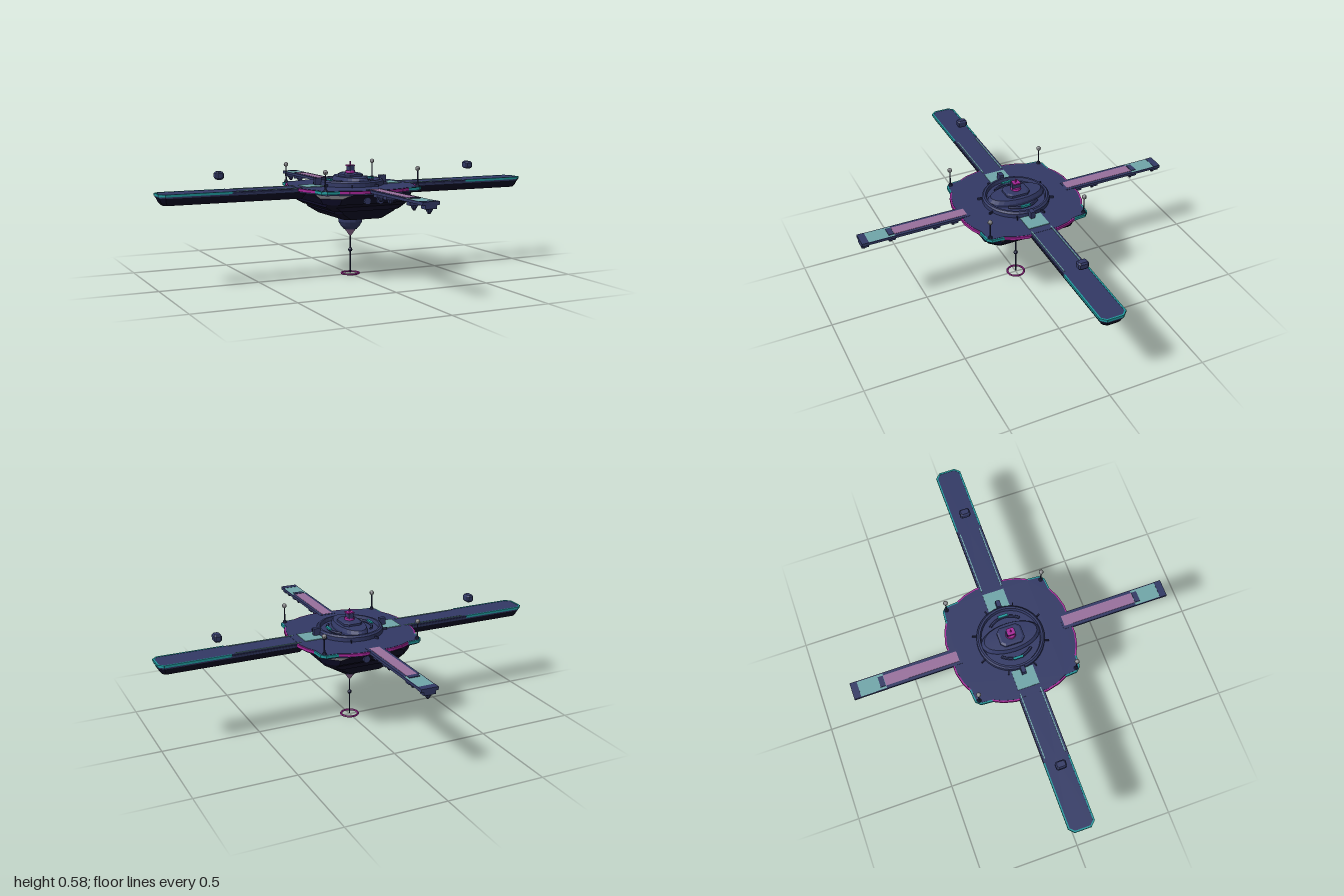
import * as THREE from 'three';

const paint = (name, color, side = THREE.FrontSide) => {
  const m = new THREE.MeshStandardMaterial({ color, side, flatShading: true });
  m.name = name;
  return m;
};

// Stacked chamfered rectangles; each ring is [y, halfX, halfZ, chamfer, centreX]
function loft(rings) {
  const loops = rings.map(([y, a, b, c, ox = 0]) => [
    [a, b - c], [a - c, b], [c - a, b], [-a, b - c],
    [-a, c - b], [c - a, -b], [a - c, -b], [a, c - b],
  ].map(([x, z]) => [x + ox, y, z]));
  const pos = [];
  const tri = (...p) => p.forEach((v) => pos.push(...v));
  const top = loops.at(-1), bottom = loops[0];
  for (let k = 0; k < 8; k++) {
    const n = (k + 1) % 8;
    for (let i = 0; i + 1 < loops.length; i++) {
      const lo = loops[i], up = loops[i + 1];
      tri(lo[k], up[k], lo[n]);
      tri(lo[n], up[k], up[n]);
    }
    tri([rings.at(-1)[4] || 0, top[0][1], 0], top[n], top[k]);
    tri([rings[0][4] || 0, bottom[0][1], 0], bottom[k], bottom[n]);
  }
  const g = new THREE.BufferGeometry();
  g.setAttribute('position', new THREE.Float32BufferAttribute(pos, 3));
  g.computeVertexNormals();
  return g;
}

const lathe = (pts, n = 20) => new THREE.LatheGeometry(pts.map(([r, y]) => new THREE.Vector2(r, y)), n);

export function createModel() {
  const root = new THREE.Group();
  root.name = 'spaceStation';
  const navy = paint('navy hull', 0x323965, THREE.DoubleSide);
  const dark = paint('dark underside', 0x0c0a25);
  const trim = paint('dark trim', 0x24284a);
  const teal = paint('teal trim', 0x1f989c);
  const magenta = paint('magenta trim', 0xa62698);
  const pale = paint('pale teal panel', 0x70a6a9);
  const mauve = paint('mauve panel', 0x98709c);
  const grey = paint('grey metal', 0x8c8c90);

  const add = (name, geo, mat, x = 0, y = 0, z = 0) => {
    const m = new THREE.Mesh(geo, mat);
    m.name = name;
    m.position.set(x, y, z);
    root.add(m);
    return m;
  };
  const box = (name, mat, w, h, d, x, y, z) => add(name, new THREE.BoxGeometry(w, h, d), mat, x, y, z);
  const post = (name, mat, r0, r1, h, x, y, z, n = 10) =>
    add(name, new THREE.CylinderGeometry(r1, r0, h, n), mat, x, y, z);

  // Deck with bowed sides and notched corners
  const quarter = [[0.305, 0.08], [0.29, 0.14], [0.268, 0.185], [0.263, 0.245],
    [0.245, 0.263], [0.185, 0.268], [0.14, 0.29], [0.08, 0.305]];
  const outline = [];
  for (let q = 0, pts = quarter; q < 4; q++) {
    outline.push(...pts);
    pts = pts.map(([x, z]) => [-z, x]);
  }
  const shape = new THREE.Shape(outline.map(([x, z]) => new THREE.Vector2(x, z)));
  const deckGeo = new THREE.ExtrudeGeometry(shape, { depth: 0.022, bevelEnabled: false });
  add('deck', deckGeo.rotateX(-Math.PI / 2), navy, 0, 0.445, 0);

  // Coloured rim standing just outside the deck edge
  outline.forEach(([x, z], i) => {
    const [x2, z2] = outline[(i + 1) % outline.length];
    const k = i % 8;
    const s = box('deckRim', k > 1 && k < 5 ? teal : magenta, 0.016, 0.014,
      Math.hypot(x2 - x, z2 - z) + 0.006, (x + x2) / 2, 0.4585, (z + z2) / 2);
    s.rotation.y = Math.atan2(x2 - x, z2 - z);
  });

  // Stepped hull below the deck
  add('upperHull', loft([[0.395, 0.235, 0.25, 0.06], [0.425, 0.25, 0.265, 0.08], [0.446, 0.265, 0.29, 0.14]]), dark);
  add('middleHull', loft([[0.358, 0.18, 0.22, 0.03], [0.38, 0.22, 0.225, 0.04], [0.396, 0.22, 0.245, 0.04]]), dark);
  add('lowerHull', loft([[0.31, 0.11, 0.18, 0.03], [0.345, 0.165, 0.2, 0.03], [0.36, 0.17, 0.205, 0.03]]), dark);

  // Neck, mauve cone, mast and lower ring
  add('neck', lathe([[0, 0.236], [0.034, 0.238], [0.05, 0.256], [0.062, 0.278], [0.064, 0.312]], 14), navy);
  post('coneTip', mauve, 0.004, 0.032, 0.04, 0, 0.222, 0, 14);
  post('mast', trim, 0.004, 0.004, 0.2, 0, 0.11, 0, 8);
  add('mastBead', new THREE.OctahedronGeometry(0.012, 1), trim, 0, 0.13, 0);
  const ring = add('lowerRing', new THREE.TorusGeometry(0.044, 0.006, 6, 28), magenta, 0, 0.008, 0);
  ring.rotation.x = Math.PI / 2;
  ring.scale.z = 0.8;

  // Command dome
  add('domeRing', lathe([[0.168, 0.465], [0.168, 0.488], [0.16, 0.496], [0.15, 0.496], [0.144, 0.472]], 36), navy);
  post('domeFloor', navy, 0.145, 0.145, 0.012, 0, 0.472, 0, 36);
  const dome = add('dome', lathe([[0.15, 0.466], [0.15, 0.49], [0.135, 0.508], [0, 0.512]], 28), navy);
  dome.scale.x = 0.5;
  add('domeUpper', loft([[0.505, 0.05, 0.062, 0.02], [0.52, 0.05, 0.062, 0.02], [0.526, 0.04, 0.052, 0.015]]), navy);
  post('turretCollar', magenta, 0.026, 0.024, 0.012, 0, 0.531, 0, 12);
  box('turret', navy, 0.024, 0.03, 0.044, 0, 0.547, 0);
  box('turretCap', magenta, 0.036, 0.007, 0.036, 0, 0.562, 0);
  post('turretSpike', magenta, 0.004, 0.003, 0.018, 0, 0.574, 0, 6);
  for (const s of [-1, 1]) {
    const arc = add('domeArc', new THREE.TorusGeometry(0.112, 0.007, 6, 14, 1.5), navy, 0, 0.488, 0);
    arc.rotation.set(Math.PI / 2, 0, s > 0 ? -0.75 : Math.PI - 0.75);
    box('console', navy, 0.034, 0.035, 0.022, s * 0.182, 0.49, 0);
    box('consoleLight', teal, 0.012, 0.008, 0.05, s * 0.115, 0.496, 0);
  }
  for (let i = 0; i < 8; i++) {
    const a = Math.PI / 8 + (i * Math.PI) / 4;
    const rib = box('domeStrut', trim, 0.03, 0.012, 0.006, 0.175 * Math.cos(a), 0.472, 0.175 * Math.sin(a));
    rib.rotation.y = -a;
  }

  // Corner antennas
  for (const x of [-0.25, 0.25]) for (const z of [-0.25, 0.25]) {
    post('antenna', trim, 0.004, 0.003, 0.095, x, 0.508, z, 6);
    post('antennaBase', trim, 0.012, 0.008, 0.012, x, 0.471, z, 8);
    add('antennaBulb', new THREE.SphereGeometry(0.012, 10, 8), grey, x, 0.557, z);
  }

  for (const s of [-1, 1]) {
    // Broad side wings with tapered undersides
    const cx = s * 0.625;
    add('wingTop', loft([[0.448, 0.372, 0.063, 0.025, cx], [0.454, 0.374, 0.064, 0.025, cx], [0.466, 0.372, 0.062, 0.025, cx]]), navy);
    add('wingUnderside', loft([[0.412, 0.35, 0.04, 0.015, cx], [0.428, 0.362, 0.052, 0.02, cx], [0.449, 0.371, 0.062, 0.025, cx]]), dark);
    box('deckPad', pale, 0.1, 0.006, 0.11, s * 0.215, 0.467, 0);
    box('wingTipTrim', teal, 0.008, 0.012, 0.08, s * 0.996, 0.4615, 0);
    for (const z of [-1, 1]) {
      box('wingEdgeTrim', teal, 0.33, 0.012, 0.008, s * 0.81, 0.4615, z * 0.062);
      const corner = box('wingCornerTrim', teal, 0.038, 0.012, 0.008, s * 0.985, 0.4615, z * 0.051);
      corner.rotation.y = s * z * Math.PI / 4;
      box('wingLine', pale, 0.34, 0.004, 0.005, s * 0.455, 0.467, z * 0.052);
      box('wingRail', trim, 0.34, 0.008, 0.006, s * 0.48, 0.46, z * 0.063);
    }
    // Floating drone above each wing
    add('drone', loft([[0.521, 0.013, 0.02, 0.006, s * 0.695], [0.529, 0.019, 0.026, 0.007, s * 0.695],
      [0.551, 0.019, 0.026, 0.007, s * 0.695], [0.559, 0.013, 0.02, 0.006, s * 0.695]]), navy);

    // Slim arms: side rails, framed panels and cross members
    for (const x of [-1, 1]) {
      box('armRail', navy, 0.017, 0.014, 0.36, x * 0.034, 0.461, s * 0.47);
      box('armOuterRail', navy, 0.004, 0.013, 0.14, x * 0.041, 0.461, s * 0.718);
    }
    box('armRoot', navy, 0.084, 0.006, 0.045, 0, 0.4655, s * 0.2875);
    box('armSolarPanel', mauve, 0.054, 0.008, 0.375, 0, 0.4655, s * 0.4625);
    box('armOuterPanel', pale, 0.08, 0.01, 0.131, 0, 0.4625, s * 0.7155);
    box('armHatch', navy, 0.054, 0.008, 0.026, 0, 0.467, s * 0.665);
    box('armEnd', navy, 0.086, 0.016, 0.035, 0, 0.461, s * 0.798);

    // Thruster pods beneath each arm
    for (const z of [0.34, 0.435, 0.663, 0.797]) {
      box('podMount', navy, 0.06, 0.02, 0.036, 0, 0.446, s * z);
      post('pod', navy, 0.011, 0.019, 0.016, 0, 0.429, s * z, 8);
      post('podNozzle', trim, 0.006, 0.01, 0.008, 0, 0.417, s * z, 8);
    }
    // Docking ports set into the hull
    for (const x of [-0.035, 0.035]) {
      const port = post('dockingPort', navy, 0.018, 0.018, 0.05, x, 0.412, s * 0.246, 12);
      port.rotation.x = Math.PI / 2;
    }
  }
  return root;
}
